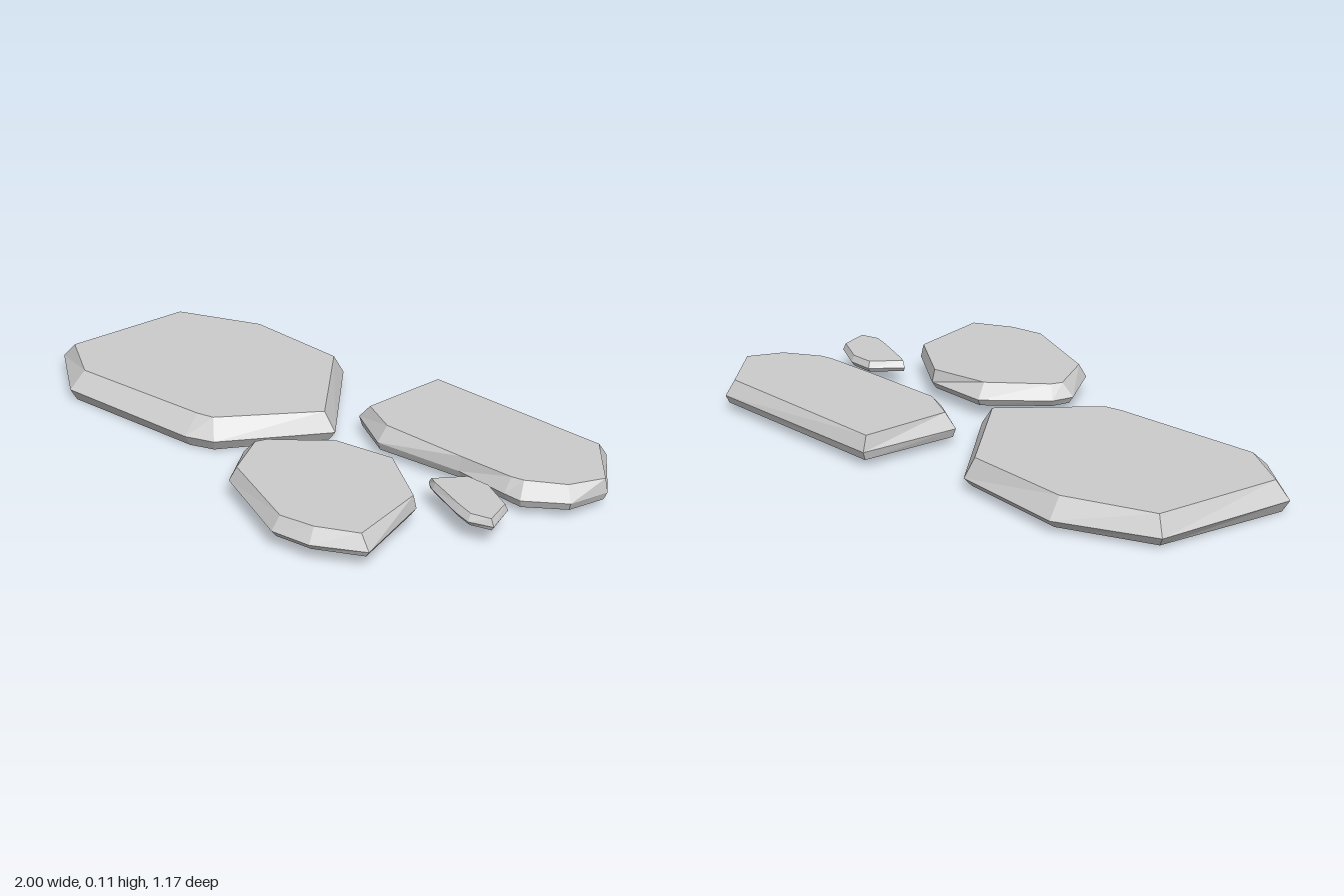
import * as THREE from 'three';

const material = new THREE.MeshStandardMaterial({ color: 0xcccccc, flatShading: true });

// Outline points are [x, z, bevel], running left, front, right, back.
// bevel is how far the top edge lies inside the rim, undercut how far the base does.
// top and base are tilted planes: [height, slope in x, slope in z].
const stones = [
  {
    name: 'largeStone', top: [0.108, 0.007, -0.01], rim: 0.047, base: [0.011, 0.008, -0.02], undercut: 0.025,
    outline: [
      [-1, -0.1, 0.05], [-0.83, 0.1, 0.06], [-0.32, 0.18, 0.065], [-0.22, 0.165, 0.06],
      [0.085, -0.085, 0.045], [-0.1, -0.475, 0.035], [-0.47, -0.59, 0.05], [-0.8, -0.52, 0.04],
    ],
  },
  {
    name: 'longStone', top: [0.108, 0, 0], rim: 0.06, base: [0.029, 0.004, 0], undercut: 0.012,
    outline: [
      [0.11, -0.2, 0.04], [0.245, -0.075, 0.04], [0.55, -0.04, 0.01], [0.73, 0.015, 0.03], [0.79, 0.03, 0.045],
      [0.93, -0.03, 0.035], [1, -0.15, 0.01], [0.905, -0.37, 0.035], [0.25, -0.505, 0.025],
    ],
  },
  {
    name: 'roundStone', top: [0.114, 0, 0.003], rim: 0.07, base: [0.046, 0, 0.006], undercut: 0.015,
    outline: [
      [-0.085, 0.2, 0.04], [-0.03, 0.38, 0.025], [0.235, 0.57, 0.03], [0.37, 0.582, 0.035], [0.54, 0.53, 0.04],
      [0.545, 0.24, 0.01], [0.38, 0.065, 0.01], [0.165, 0.015, 0.05], [-0.045, 0.135, 0.04],
    ],
  },
  {
    name: 'smallStone', top: [0.103, 0, 0], rim: 0.081, base: [0.066, 0, 0], undercut: 0.01,
    outline: [
      [0.515, 0.1, 0.015], [0.545, 0.135, 0.01], [0.665, 0.22, 0.015], [0.72, 0.25, 0.015],
      [0.8, 0.24, 0.015], [0.795, 0.13, 0.01], [0.7, 0.05, 0.01], [0.615, 0.03, 0.012],
    ],
  },
];

const heightOn = ([h, sx, sz], x, z) => h + sx * x + sz * z;

// Moves outline point i inwards, square to the line between its neighbours
function moveIn(outline, i, distance) {
  const n = outline.length;
  const [px, pz] = outline[(i + n - 1) % n];
  const [qx, qz] = outline[(i + 1) % n];
  const step = distance / Math.hypot(qx - px, qz - pz);
  return [outline[i][0] + (qz - pz) * step, outline[i][1] - (qx - px) * step];
}

function stoneGeometry({ outline, top, rim, base, undercut }) {
  const n = outline.length;
  const ringOn = (plane, inset) => outline.map((point, i) => {
    const [x, z] = moveIn(outline, i, inset(point));
    return [x, heightOn(plane, x, z), z];
  });
  const lower = ringOn(base, () => undercut);
  const middle = ringOn([rim, 0, 0], () => 0);
  const upper = ringOn(top, ([, , bevel]) => bevel);

  const positions = [];
  const tri = (a, b, c) => positions.push(...a, ...b, ...c);

  // Sloping sides
  for (const [low, high] of [[lower, middle], [middle, upper]]) {
    for (let i = 0; i < n; i++) {
      const j = (i + 1) % n;
      tri(low[i], low[j], high[j]);
      tri(low[i], high[j], high[i]);
    }
  }

  // Flat top and underside
  const contour = (ring) => ring.map(([x, , z]) => new THREE.Vector2(x, -z));
  for (const [a, b, c] of THREE.ShapeUtils.triangulateShape(contour(upper), [])) {
    tri(upper[a], upper[b], upper[c]);
  }
  for (const [a, b, c] of THREE.ShapeUtils.triangulateShape(contour(lower), [])) {
    tri(lower[a], lower[c], lower[b]);
  }

  const geometry = new THREE.BufferGeometry();
  geometry.setAttribute('position', new THREE.Float32BufferAttribute(positions, 3));
  geometry.computeVertexNormals();
  return geometry;
}

export function createModel() {
  const group = new THREE.Group();
  group.name = 'steppingStones';
  for (const stone of stones) {
    const mesh = new THREE.Mesh(stoneGeometry(stone), material);
    mesh.name = stone.name;
    group.add(mesh);
  }
  return group;
}
